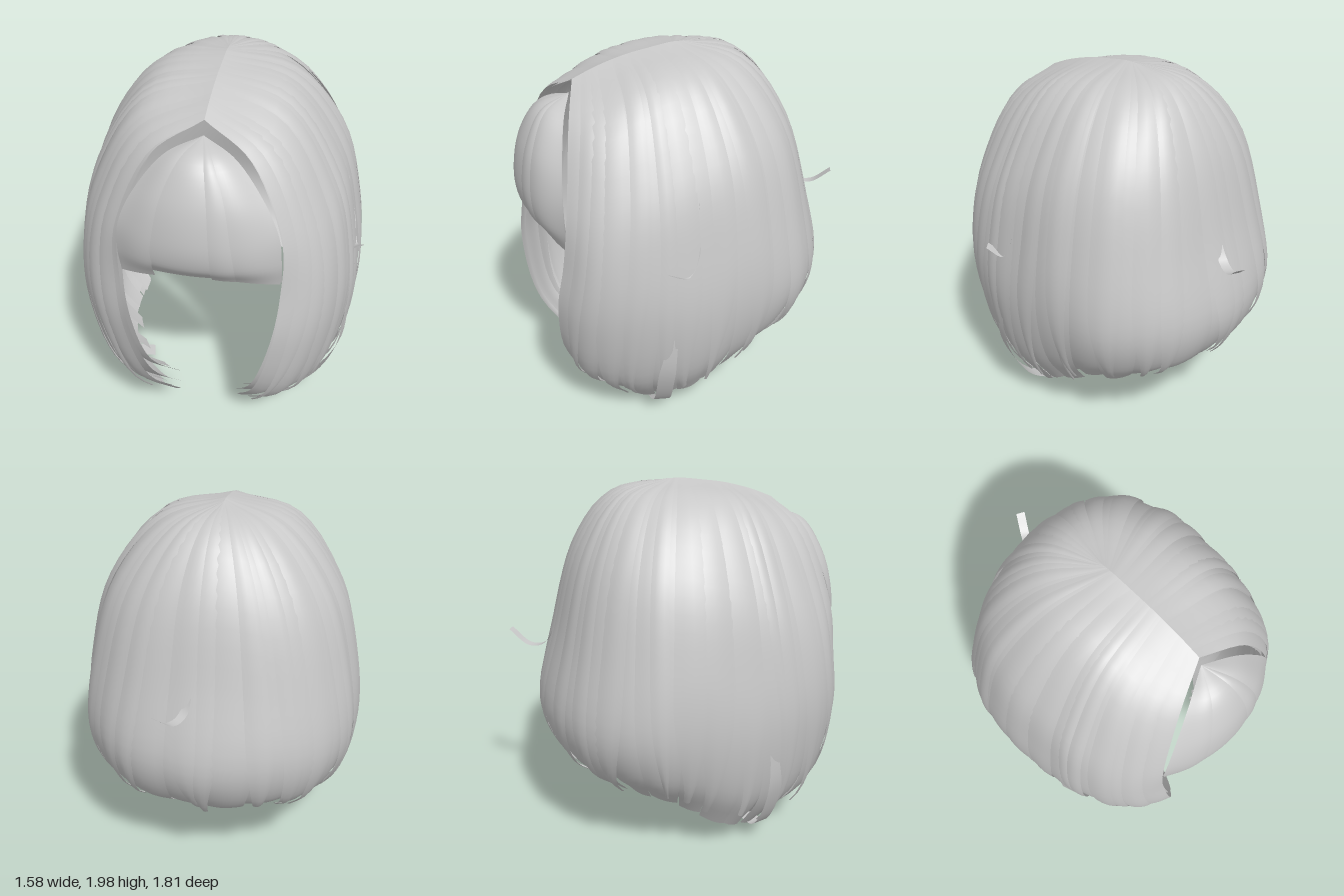
import * as THREE from 'three';

const hair = new THREE.MeshStandardMaterial({ color: 0xc8c8c8, side: THREE.DoubleSide });
hair.name = 'silver hair';

let seed = 11;
const rnd = () => { seed = (seed * 16807) % 2147483647; return seed / 2147483647; };
const V = (p) => new THREE.Vector3(...p);
const spline = (pts) => new THREE.CatmullRomCurve3(pts, false, 'catmullrom', 0.5);
const mirror = (guide) => guide.map(([x, y, z]) => [-x, y, z]);
const CENTRE = new THREE.Vector3(0, 1.0, 0.05);

// Guide hairs from parting to tip, front lock round to the back centre
const SIDE = [
  [[0, 1.86, .58], [.25, 1.71, .68], [.41, 1.35, .76], [.42, 1.05, .80], [.38, .75, .84], [.28, .40, .79], [.13, .10, .57]],
  [[0, 1.91, .45], [.34, 1.75, .52], [.53, 1.40, .60], [.60, 1.05, .66], [.57, .70, .70], [.45, .33, .68], [.25, .08, .52]],
  [[0, 1.95, .30], [.36, 1.83, .33], [.60, 1.45, .38], [.69, 1.10, .42], [.70, .75, .46], [.61, .35, .46], [.42, .07, .36]],
  [[0, 1.97, .17], [.36, 1.87, .16], [.62, 1.50, .17], [.72, 1.10, .18], [.75, .75, .20], [.69, .40, .20], [.55, .16, .16]],
  [[0, 1.985, .05], [.35, 1.88, -.02], [.61, 1.55, -.08], [.72, 1.15, -.10], [.75, .80, -.10], [.69, .50, -.08], [.55, .28, -.06]],
  [[0, 1.985, 0], [.27, 1.89, -.20], [.50, 1.58, -.34], [.62, 1.15, -.40], [.67, .80, -.42], [.61, .55, -.38], [.48, .38, -.30]],
  [[0, 1.985, -.02], [.15, 1.90, -.30], [.29, 1.60, -.49], [.37, 1.15, -.60], [.41, .80, -.66], [.37, .55, -.60], [.30, .43, -.45]],
];
const BACK = [[0, 1.985, -.03], [0, 1.91, -.32], [0, 1.63, -.53], [0, 1.20, -.65], [0, .80, -.75], [0, .55, -.67], [0, .41, -.50]];
const BOB = [...SIDE, BACK, ...SIDE.map(mirror).reverse()];

// Guide hairs of the fringe, fanning from one point
const FRINGE_MID = [[0, 1.79, .60], [0, 1.73, .76], [0, 1.56, .86], [0, 1.36, .90], [0, 1.22, .885], [0, 1.14, .83]];
const FRINGE_HALF = [[0, 1.79, .60], [.09, 1.73, .74], [.17, 1.56, .83], [.21, 1.37, .865], [.23, 1.22, .855], [.23, 1.125, .80]];
const FRINGE_EDGE = [[0, 1.79, .60], [.17, 1.72, .68], [.31, 1.55, .74], [.39, 1.38, .77], [.41, 1.22, .77], [.41, 1.09, .74]];
const FRINGE = [mirror(FRINGE_EDGE), mirror(FRINGE_HALF), FRINGE_MID, FRINGE_HALF, FRINGE_EDGE];

// Grid of points f(row, column), both 0..1, turned into a smooth sheet
function sheet(name, rows, cols, f, flip = false) {
  const pos = [], idx = [];
  for (let i = 0; i <= rows; i++) {
    const row = f(i / rows);
    for (let j = 0; j <= cols; j++) pos.push(...row(j / cols).toArray());
  }
  for (let i = 0; i < rows; i++) for (let j = 0; j < cols; j++) {
    const a = i * (cols + 1) + j, b = a + 1, c = a + cols + 1, d = c + 1;
    idx.push(...(flip ? [a, b, c, b, d, c] : [a, c, b, b, c, d]));
  }
  const g = new THREE.BufferGeometry();
  g.setAttribute('position', new THREE.Float32BufferAttribute(pos, 3));
  g.setIndex(idx);
  g.computeVertexNormals();
  const mesh = new THREE.Mesh(g, hair);
  mesh.name = name;
  return mesh;
}

// One lock lying over the guide surface between u0 and u1
function lock(name, guides, o, flip) {
  const curves = guides.map((g) => spline(g.map(V)));
  const { u0, u1, lift = 0, bulge = 0, end = 1, taper = 0, lean = 0, drop = 0, rows = 28, cols = 6 } = o;
  return sheet(name, rows, cols, (r) => {
    const t = r * end;
    const across = spline(curves.map((c) => c.getPoint(t)));
    const k = THREE.MathUtils.smoothstep(r, 0.6, 1);
    const half = (u1 - u0) / 2 * (1 - taper * k);
    const mid = (u0 + u1) / 2 + lean * r * r;
    return (s) => {
      const u = THREE.MathUtils.clamp(mid + (s * 2 - 1) * half, 0, 1);
      const p = across.getPoint(u);
      const out = p.clone().sub(CENTRE).normalize();
      p.addScaledVector(out, (lift + bulge * Math.sin(Math.PI * s)) * Math.min(1, r * 4));
      p.y -= drop * Math.pow(r, 6);
      return p;
    };
  }, flip);
}

// Loose ribbon of hair following a path
function ribbon(name, path, width, side) {
  const c = spline(path.map(V)), w = V(side).normalize();
  return sheet(name, 18, 2, (r) => {
    const p = c.getPoint(r), h = width * Math.min(1, 0.35 + r * 2);
    return (s) => p.clone().addScaledVector(w, (s - 0.5) * h);
  });
}

export function createModel() {
  const model = new THREE.Group();
  model.name = 'bobHair';

  // Closed layer under the locks
  model.add(lock('underLayer', BOB, { u0: 0, u1: 1, lift: -0.02, end: 0.97, rows: 36, cols: 96 }));

  // Broad overlapping locks
  const broad = new THREE.Group();
  broad.name = 'broadLocks';
  const n = 26;
  for (let i = 0; i < n; i++) {
    broad.add(lock('broadLock', BOB, {
      u0: Math.max(0, (i - 0.15) / n), u1: Math.min(1, (i + 1.15) / n),
      lift: (i % 2) * 0.01, bulge: 0.008, end: 0.97 + rnd() * 0.03,
      taper: 0.1 + rnd() * 0.25, drop: rnd() * 0.03,
    }));
  }
  model.add(broad);

  // Narrow pointed locks on top
  const fine = new THREE.Group();
  fine.name = 'fineLocks';
  for (let i = 0; i < 24; i++) {
    const u = 0.03 + (i + rnd() * 0.8) / 24 * 0.93, w = 0.01 + rnd() * 0.012;
    fine.add(lock('fineLock', BOB, {
      u0: u - w, u1: u + w, lift: 0.012 + rnd() * 0.008, bulge: 0.006,
      end: 0.88 + rnd() * 0.12, taper: 0.8, lean: (rnd() - 0.5) * 0.035,
      drop: rnd() * 0.05, cols: 4,
    }));
  }
  model.add(fine);

  // Inner locks lining the two front sides
  const inner = new THREE.Group();
  inner.name = 'innerLocks';
  for (const start of [0.02, 0.7]) for (let i = 0; i < 7; i++) {
    const u = start + i * 0.04;
    inner.add(lock('innerLock', BOB, {
      u0: u, u1: u + 0.045, lift: -0.05 - rnd() * 0.03, end: 0.92 + rnd() * 0.08, taper: 0.5,
    }));
  }
  model.add(inner);

  // Fringe: a full sheet with locks over it
  const fringe = new THREE.Group();
  fringe.name = 'fringe';
  fringe.add(lock('fringeBase', FRINGE, { u0: 0, u1: 1, cols: 32 }, true));
  for (const [a, b, drop] of [[0, 0.28, 0.03], [0.24, 0.62, 0], [0.58, 0.72, 0.01], [0.68, 1, 0.01]]) {
    fringe.add(lock('fringeLock', FRINGE, { u0: a, u1: b, lift: 0.005, bulge: 0.006, taper: 0.06, drop, cols: 10 }, true));
  }
  model.add(fringe);

  // Stray curls at the side, the back and the crown
  model.add(ribbon('sideCurl', [[.67, 1.40, .18], [.71, 1.15, .21], [.73, 1.04, .27], [.77, 1.08, .35]], 0.06, [.6, 0, -.5]));
  model.add(ribbon('backCurl', [[.06, 1.24, -.64], [.09, 1.10, -.71], [.14, 1.08, -.80], [.20, 1.16, -.89]], 0.05, [.8, 0, .45]));
  // Long pointed wisps at the front tips
  for (const s of [1, -1]) {
    model.add(ribbon('tipWisp', [[s * .74, .75, .32], [s * .71, .42, .36], [s * .58, .14, .34], [s * .40, s > 0 ? .005 : .10, .31]], 0.09, [-s * .3, 0, 1]));
  }
  return model;
}
